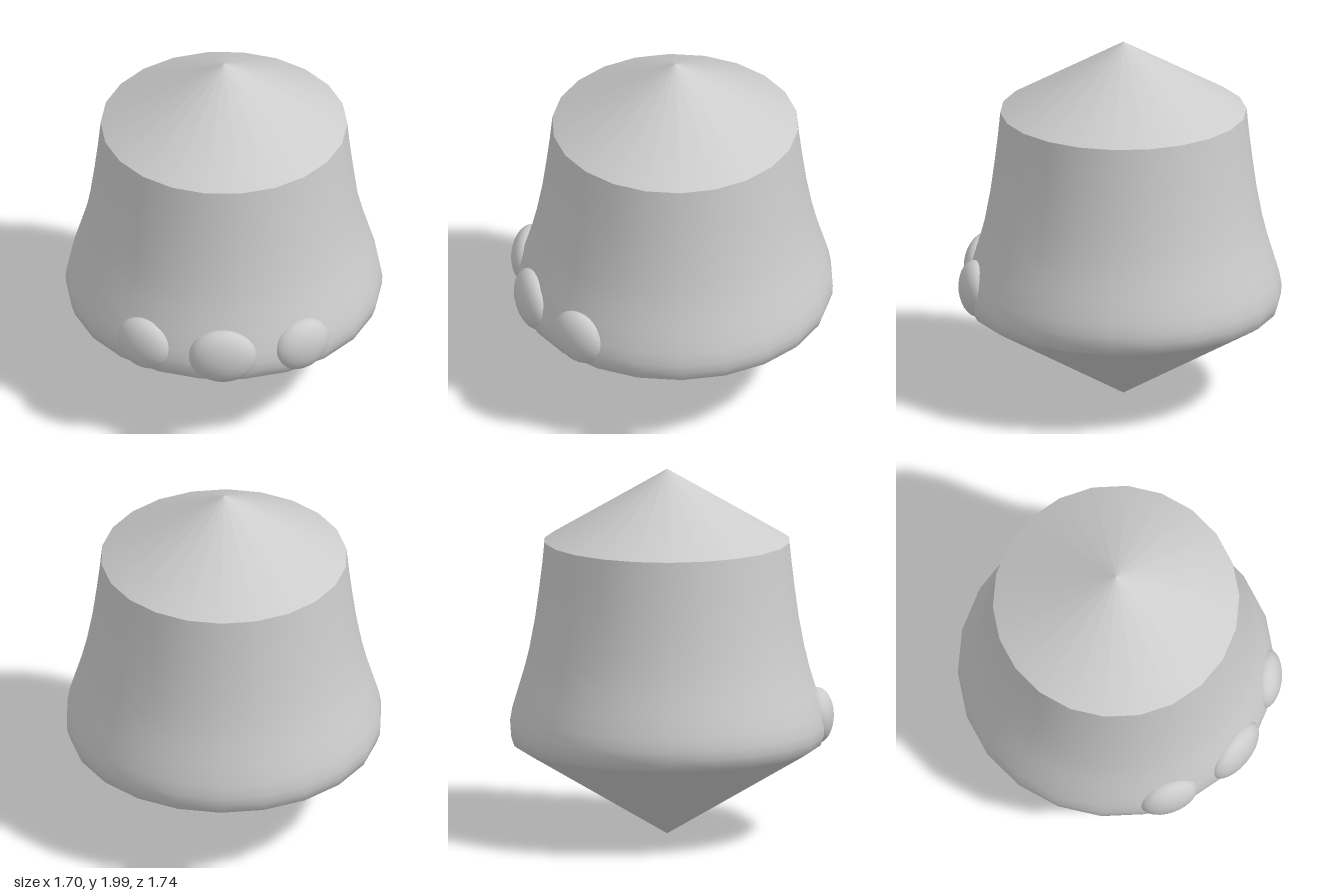
import * as THREE from 'three';

const SIDES = 22;
const AXIS_Z = -0.025;

export function createModel() {
  const model = new THREE.Group();
  model.name = 'studdedBell';
  const grey = new THREE.MeshStandardMaterial({ color: 0xcccccc });
  grey.name = 'light grey';

  // One turned part from a profile of [radius, height], bottom to top
  function turned(name, profile) {
    const points = profile.map(([r, y]) => new THREE.Vector2(r, y));
    const mesh = new THREE.Mesh(new THREE.LatheGeometry(points, SIDES, Math.PI / 2), grey);
    mesh.name = name;
    mesh.position.z = AXIS_Z;
    model.add(mesh);
  }

  // Separate parts keep the rims sharp
  turned('lowerCone', [[0, 0.01], [0.8, 0.49]]);
  turned('flaredBody', [
    [0.8, 0.49], [0.83, 0.51], [0.847, 0.56], [0.85, 0.61], [0.838, 0.68],
    [0.805, 0.79], [0.772, 0.9], [0.745, 1.01], [0.715, 1.17], [0.693, 1.33],
    [0.676, 1.47], [0.662, 1.61],
  ]);
  turned('upperCone', [[0.662, 1.61], [0, 2]]);

  // Three flattened studs across the front
  const studs = [
    ['leftStud', 0.55, 0.165, 0.15],
    ['middleStud', 0, 0.185, 0.16],
    ['rightStud', -0.55, 0.165, 0.15],
  ];
  for (const [name, angle, width, height] of studs) {
    const stud = new THREE.Mesh(new THREE.SphereGeometry(1, 24, 16), grey);
    stud.name = name;
    stud.scale.set(width, height, 0.09);
    stud.rotation.y = angle;
    stud.position.set(Math.sin(angle) * 0.805, 0.65, AXIS_Z + Math.cos(angle) * 0.805);
    model.add(stud);
  }
  return model;
}
